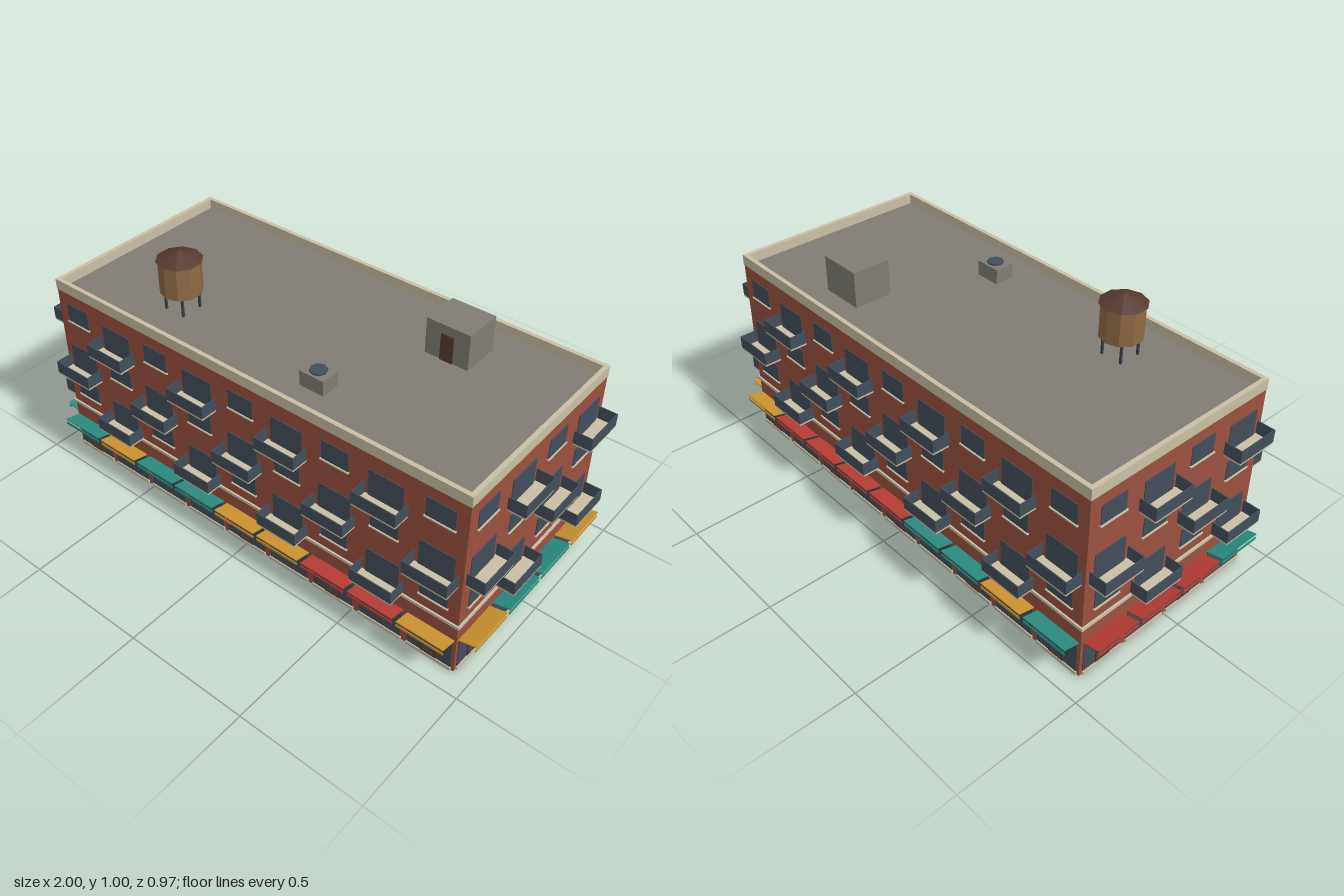
import * as THREE from 'three';

const mat = (name, color) => {
  const m = new THREE.MeshStandardMaterial({ color });
  m.name = name;
  return m;
};

export function createModel() {
  const M = {
    brick: mat('brick', 0x9b5140),
    stone: mat('stone', 0xc9bfa5),
    glass: mat('glass', 0x434f5c),
    concrete: mat('concrete', 0x817d75),
    wood: mat('wood', 0x8e6a45),
    brown: mat('brown', 0x573a31),
    metal: mat('metal', 0x3a4046),
    teal: mat('teal', 0x2a8c7e),
    orange: mat('orange', 0xcc9230),
    red: mat('red', 0xb53c34),
  };
  const root = new THREE.Group();
  root.name = 'building';

  const add = (parent, name, geo, material, x, y, z) => {
    const mesh = new THREE.Mesh(geo, material);
    mesh.name = name;
    mesh.position.set(x, y, z);
    parent.add(mesh);
    return mesh;
  };
  // box given by centre x, bottom and top y, and back and front z
  const box = (parent, name, material, x, w, y0, y1, z0, z1) =>
    add(parent, name, new THREE.BoxGeometry(w, y1 - y0, z1 - z0), material,
      x, (y0 + y1) / 2, (z0 + z1) / 2);

  const HX = 0.93, HZ = 0.415, ROOF = 0.757, TOP = 0.8, BAY = 0.207, OUT = 0.07;

  // main volume
  box(root, 'brickBody', M.brick, 0, HX * 2, 0, ROOF, -HZ, HZ);
  box(root, 'beltCourse', M.stone, 0, HX * 2 + 0.014, 0.217, 0.229, -HZ - 0.007, HZ + 0.007);
  box(root, 'roofDeck', M.concrete, 0, HX * 2 - 0.03, ROOF, ROOF + 0.003, -HZ + 0.015, HZ - 0.015);

  // parapet ring
  const rect = (Type, x, z) => new Type([
    new THREE.Vector2(-x, -z), new THREE.Vector2(x, -z),
    new THREE.Vector2(x, z), new THREE.Vector2(-x, z)]);
  const ring = rect(THREE.Shape, HX + 0.002, HZ + 0.002);
  ring.holes.push(rect(THREE.Path, HX - 0.015, HZ - 0.015));
  const parapet = new THREE.ExtrudeGeometry(ring, { depth: TOP - ROOF, bevelEnabled: false });
  parapet.rotateX(-Math.PI / 2);
  add(root, 'parapet', parapet, M.stone, 0, ROOF, 0);

  // shop bay: glazing, plinth, optional door, awning
  function shop(parent, x, hasDoor, awningMat) {
    const g = new THREE.Group();
    g.name = 'shopBay';
    g.position.x = x;
    parent.add(g);
    box(g, 'shopWindow', M.glass, 0, 0.18, 0.015, 0.146, -0.002, 0.003);
    box(g, 'shopPlinth', M.stone, 0, 0.184, 0, 0.015, -0.002, 0.007);
    if (hasDoor) {
      for (const s of [-1, 1]) box(g, 'doorJamb', M.brown, s * 0.0295, 0.007, 0.018, 0.118, 0.002, 0.007);
      box(g, 'doorHead', M.brown, 0, 0.052, 0.106, 0.118, 0.002, 0.007);
      box(g, 'doorKick', M.brown, 0, 0.052, 0.018, 0.029, 0.002, 0.007);
      box(g, 'doorGlass', M.glass, 0, 0.052, 0.029, 0.106, 0.002, 0.005);
    }
    const awning = add(g, 'awning', new THREE.BoxGeometry(0.19, 0.004, 0.072), awningMat, 0, 0.158, 0.034);
    awning.rotation.x = -0.23;
    box(g, 'awningValance', awningMat, 0, 0.19, 0.142, 0.152, 0.066, 0.069);
  }

  // plain window with sill
  function smallWindow(parent, x, b) {
    box(parent, 'window', M.glass, x, 0.112, b + 0.05, b + 0.127, -0.002, 0.003);
    box(parent, 'windowSill', M.stone, x, 0.12, b + 0.045, b + 0.05, -0.002, 0.008);
  }

  // tall window behind a balcony with solid railing
  function balcony(parent, x, b) {
    const g = new THREE.Group();
    g.name = 'balcony';
    g.position.x = x;
    parent.add(g);
    box(g, 'balconyWindow', M.glass, 0, 0.138, b, b + 0.11, -0.002, 0.003);
    box(g, 'balconySlab', M.stone, 0, 0.174, b - 0.005, b + 0.003, -0.002, OUT - 0.001);
    box(g, 'frontRail', M.glass, 0, 0.176, b + 0.003, b + 0.053, OUT - 0.004, OUT);
    for (const s of [-1, 1])
      box(g, 'sideRail', M.glass, s * 0.086, 0.004, b + 0.003, b + 0.053, 0, OUT - 0.004);
  }

  // one facade, bays counted from the left as seen from outside
  function facade(name, angle, dist, awnings, doors) {
    const g = new THREE.Group();
    g.name = name;
    g.rotation.y = angle;
    g.position.set(Math.sin(angle) * dist, 0, Math.cos(angle) * dist);
    root.add(g);
    const colours = { t: M.teal, o: M.orange, r: M.red };
    [...awnings].forEach((c, i) => {
      const x = (i - (awnings.length - 1) / 2) * BAY;
      shop(g, x, doors.includes(i), colours[c]);
      for (let floor = 0; floor < 3; floor++) {
        const b = 0.232 + floor * 0.1755;
        if ((i + floor) % 2 === 0) smallWindow(g, x, b);
        else balcony(g, x, b);
      }
    });
  }
  facade('frontFacade', 0, HZ, 'tottoorro', [0, 4, 6, 8]);
  facade('leftFacade', Math.PI / 2, HX, 'otto', [0, 2]);
  facade('backFacade', Math.PI, HZ, 'orrrrttot', [0, 2, 4, 6, 8]);
  facade('rightFacade', -Math.PI / 2, HX, 'rrrt', [0, 2]);

  // water tank on four legs
  const tank = new THREE.Group();
  tank.name = 'waterTank';
  tank.position.set(-0.47, 0, 0.207);
  root.add(tank);
  const faceted = (geo) => {
    const flat = geo.toNonIndexed();
    flat.computeVertexNormals();
    return flat;
  };
  add(tank, 'tankBarrel', faceted(new THREE.CylinderGeometry(0.08, 0.08, 0.131, 10)), M.wood, 0, 0.9025, 0);
  add(tank, 'tankRoof', faceted(new THREE.ConeGeometry(0.087, 0.036, 10)), M.brown, 0, 0.985, 0);
  for (const sx of [-1, 1]) for (const sz of [-1, 1])
    box(tank, 'tankLeg', M.metal, sx * 0.043, 0.008, ROOF, 0.838, sz * 0.043 - 0.004, sz * 0.043 + 0.004);

  // stair house with door
  box(root, 'stairHouse', M.concrete, 0.4625, 0.178, ROOF, 0.904, -0.287, -0.131);
  box(root, 'stairHouseDoor', M.brown, 0.4625, 0.052, ROOF, 0.868, -0.132, -0.127);

  // ventilation unit with fan
  box(root, 'ventUnit', M.concrete, 0.21, 0.102, ROOF, 0.82, 0.21, 0.29);
  add(root, 'ventFan', faceted(new THREE.CylinderGeometry(0.032, 0.032, 0.008, 8)), M.glass, 0.21, 0.823, 0.25);

  return root;
}
